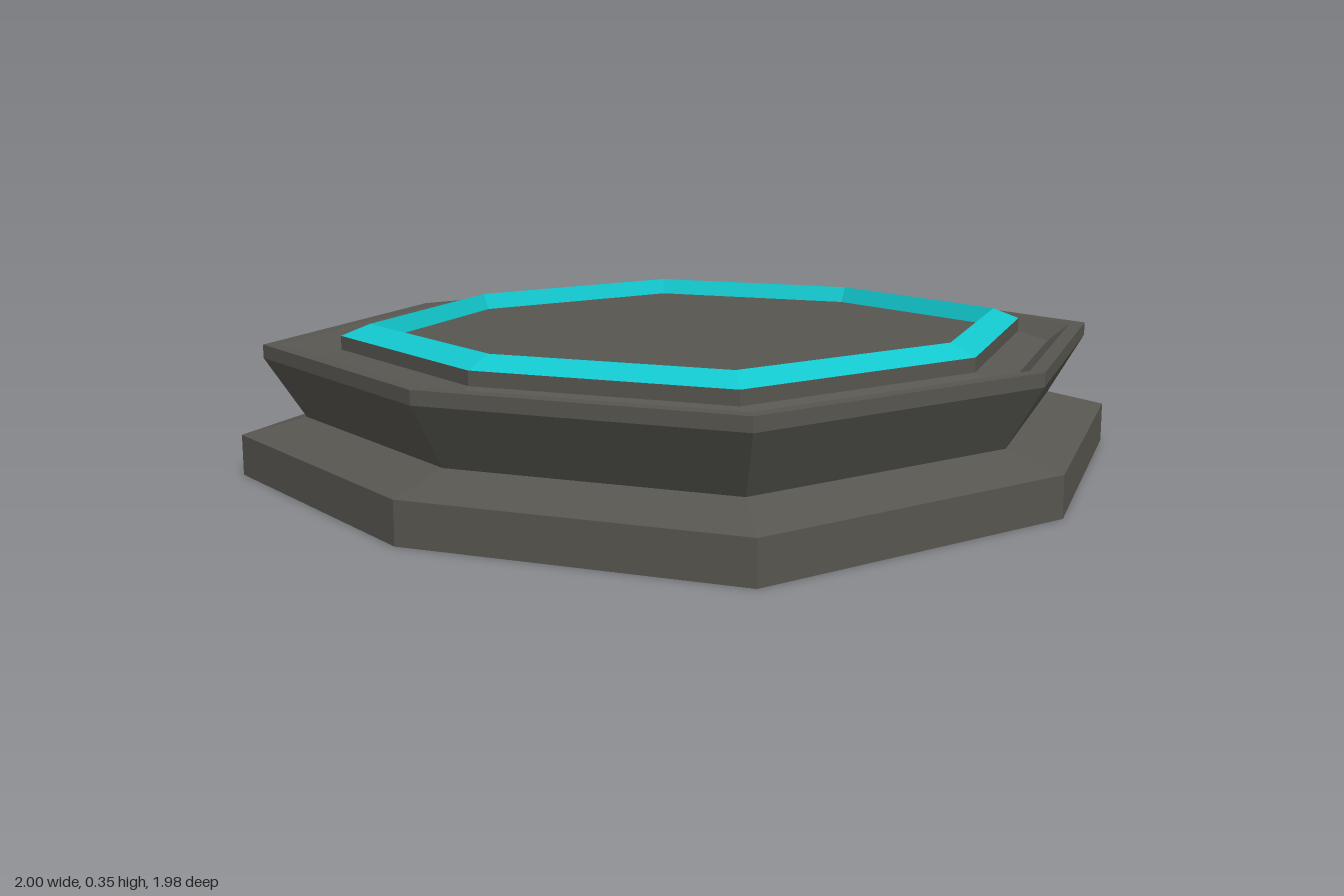
import * as THREE from 'three';

// Eight-sided outline (x, z) of unit radius, counted so faces point outward.
const OUTLINE = [
  [-1, 0], [-0.793, 0.741], [0, 0.988], [0.793, 0.741],
  [1, 0], [0.793, -0.741], [0, -0.988], [-0.793, -0.741],
];
const CENTRE_Z = -0.01;

// Sweeps a [radius, height] profile around the outline, from bottom to top.
function sweep(name, profile, material) {
  const positions = [];
  const corner = (i, [r, y]) => {
    const [x, z] = OUTLINE[i % 8];
    return [x * r, y, z * r + CENTRE_Z * Math.min(1, r * 4)];
  };
  for (let p = 0; p < profile.length - 1; p++) {
    for (let i = 0; i < 8; i++) {
      const a = corner(i, profile[p]);
      const b = corner(i + 1, profile[p]);
      const c = corner(i + 1, profile[p + 1]);
      const d = corner(i, profile[p + 1]);
      if (profile[p][0] > 0) positions.push(...a, ...b, ...c);
      if (profile[p + 1][0] > 0) positions.push(...a, ...c, ...d);
    }
  }
  const geometry = new THREE.BufferGeometry();
  geometry.setAttribute('position', new THREE.Float32BufferAttribute(positions, 3));
  geometry.computeVertexNormals();
  const mesh = new THREE.Mesh(geometry, material);
  mesh.name = name;
  return mesh;
}

export function createModel() {
  const stone = new THREE.MeshStandardMaterial({ color: 0x575650 });
  stone.name = 'darkStone';
  const glow = new THREE.MeshStandardMaterial({ color: 0x12c8ce });
  glow.name = 'turquoise';

  const model = new THREE.Group();
  model.name = 'octagonalPlatform';
  model.add(
    // Foot with a slightly hollow underside and sloping shoulder
    sweep('foot', [[0, 0.03], [0.87, 0.03], [1, 0], [1, 0.097], [0.86, 0.135]], stone),
    // Flared neck, upright lip, and groove inside the lip
    sweep('neckAndRim', [
      [0.86, 0.135], [0.946, 0.28], [0.946, 0.312], [0.91, 0.312],
      [0.855, 0.268], [0.78, 0.295], [0.78, 0.328],
    ], stone),
    // Bevelled coloured ring
    sweep('colouredRing', [[0.78, 0.328], [0.717, 0.355], [0.7, 0.315]], glow),
    // Sunken floor inside the ring
    sweep('topPlate', [[0.7, 0.315], [0, 0.315]], stone),
  );
  return model;
}
